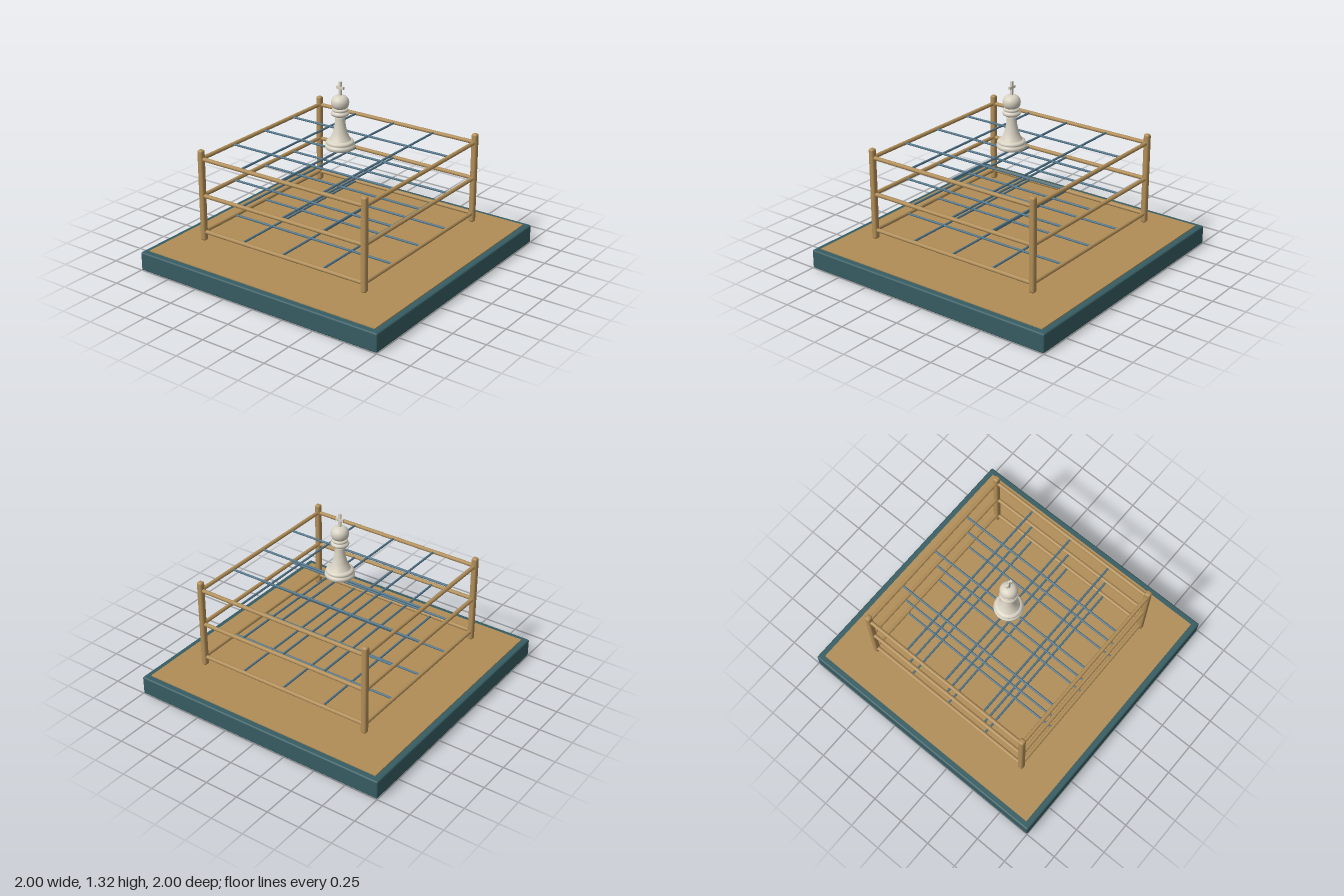
import * as THREE from 'three';
import { RoundedBoxGeometry } from 'three/addons/geometries/RoundedBoxGeometry.js';

const material = (name, color) => {
  const m = new THREE.MeshStandardMaterial({ color });
  m.name = name;
  return m;
};

export function createModel() {
  const teal = material('dark teal', 0x365c62);
  const brass = material('brass', 0xb08d57);
  const steel = material('blue steel', 0x4f7388);
  const ivory = material('ivory', 0xd8d2c2);

  const model = new THREE.Group();
  model.name = 'chessFrame';

  const add = (parent, name, geometry, mat, x = 0, y = 0, z = 0) => {
    const mesh = new THREE.Mesh(geometry, mat);
    mesh.name = name;
    mesh.position.set(x, y, z);
    parent.add(mesh);
    return mesh;
  };

  // Plinth with a thin inlay on top
  add(model, 'plinth', new RoundedBoxGeometry(2, 0.14, 2, 3, 0.012), teal, 0, 0.07, 0);
  add(model, 'inlay', new THREE.BoxGeometry(1.91, 0.009, 1.91), brass, 0, 0.1425, 0);

  // Corner posts
  const half = 0.682;
  const cage = new THREE.Group();
  cage.name = 'cage';
  model.add(cage);
  for (const x of [-half, half]) {
    for (const z of [-half, half]) {
      add(cage, 'post', new RoundedBoxGeometry(0.044, 0.68, 0.044, 3, 0.015), brass, x, 0.541, z);
    }
  }

  // Three levels, each with four rails and a grid of thin rods
  const rod = (name, radius, length, mat, along, offset, y) => {
    const geometry = new THREE.CylinderGeometry(radius, radius, length, 12);
    const mesh = along === 'x'
      ? add(cage, name, geometry, mat, 0, y, offset)
      : add(cage, name, geometry, mat, offset, y, 0);
    if (along === 'x') mesh.rotation.z = Math.PI / 2;
    else mesh.rotation.x = Math.PI / 2;
  };
  for (const y of [0.268, 0.541, 0.814]) {
    for (const along of ['x', 'z']) {
      for (const side of [-half, half]) rod('rail', 0.0145, 2 * half, brass, along, side, y);
      for (const offset of [-0.341, 0, 0.341]) rod('gridRod', 0.008, 2 * half - 0.02, steel, along, offset, y);
    }
  }

  // Turned king piece
  const king = new THREE.Group();
  king.name = 'king';
  king.position.y = 0.834;
  model.add(king);
  const turned = (name, points) => add(king, name,
    new THREE.LatheGeometry(points.map(([r, y]) => new THREE.Vector2(r, y)), 40), ivory);

  turned('foot', [
    [0, 0], [0.098, 0], [0.104, 0.006], [0.106, 0.018], [0.104, 0.028], [0.094, 0.034],
    [0.097, 0.04], [0.098, 0.048], [0.094, 0.056], [0.084, 0.061], [0.07, 0.067], [0, 0.067],
  ]);
  turned('body', [
    [0.078, 0.062], [0.064, 0.085], [0.052, 0.115], [0.043, 0.15],
    [0.037, 0.185], [0.034, 0.22], [0.035, 0.242], [0, 0.242],
  ]);
  turned('collar', [
    [0, 0.236], [0.045, 0.237], [0.06, 0.246], [0.065, 0.257], [0.06, 0.267], [0.05, 0.272],
    [0.053, 0.277], [0.057, 0.284], [0.053, 0.292], [0.042, 0.296], [0, 0.296],
  ]);
  turned('head', [
    [0, 0.294], [0.044, 0.295], [0.055, 0.305], [0.061, 0.32], [0.063, 0.336],
    [0.061, 0.352], [0.053, 0.368], [0.04, 0.38], [0.022, 0.386], [0, 0.388],
  ]);
  add(king, 'crossUpright', new THREE.BoxGeometry(0.017, 0.1, 0.015), ivory, 0, 0.434, 0);
  add(king, 'crossBar', new THREE.BoxGeometry(0.06, 0.019, 0.017), ivory, 0, 0.441, 0);

  return model;
}
